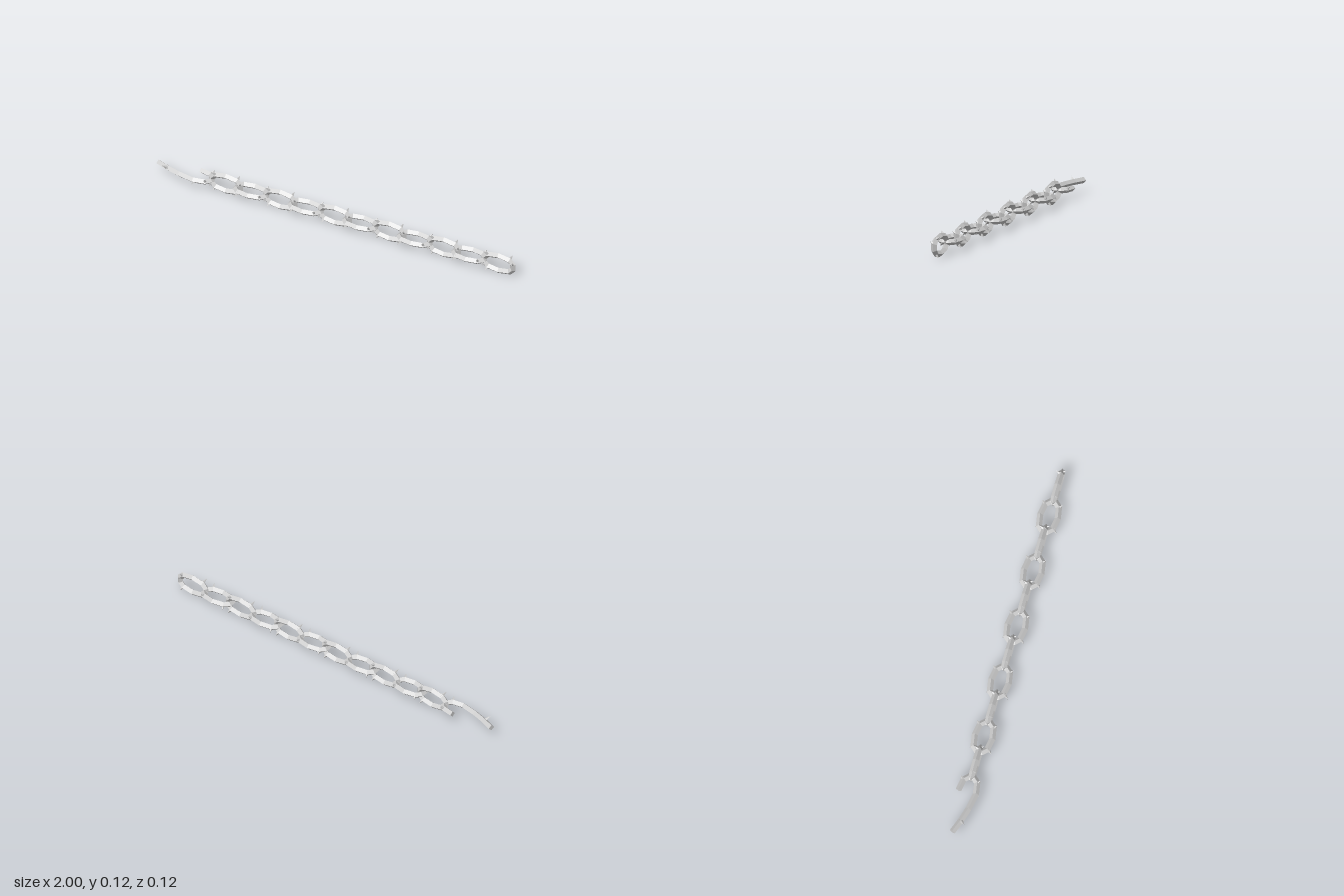
import * as THREE from 'three';

const material = new THREE.MeshStandardMaterial({ color: 0xcccccc, flatShading: true });
const R = 0.0155; // half thickness of the bar
const Y = 0.06;   // height of the chain axis
const PITCH = 0.303;

// Diamond-section bar swept along a counter-clockwise path in the xy plane
function barGeometry(path, closed) {
  const pts = path.map(([x, y]) => new THREE.Vector2(x, y));
  const n = pts.length;
  const pos = [], idx = [];
  pts.forEach((p, i) => {
    const prev = closed ? pts[(i + n - 1) % n] : pts[Math.max(i - 1, 0)];
    const next = closed ? pts[(i + 1) % n] : pts[Math.min(i + 1, n - 1)];
    const a = p.clone().sub(prev).normalize();
    const b = next.clone().sub(p).normalize();
    const t = a.clone().add(b).normalize();
    // widen at bends so the bar keeps its thickness
    const m = R / Math.max(t.dot(i < n - 1 || closed ? b : a), 0.6);
    const nx = t.y * m, ny = -t.x * m;
    pos.push(p.x + nx, p.y + ny, 0, p.x, p.y, R, p.x - nx, p.y - ny, 0, p.x, p.y, -R);
  });
  const spans = closed ? n : n - 1;
  for (let i = 0; i < spans; i++) {
    const j = (i + 1) % n;
    for (let k = 0; k < 4; k++) {
      const l = (k + 1) % 4;
      idx.push(i * 4 + k, j * 4 + k, j * 4 + l, i * 4 + k, j * 4 + l, i * 4 + l);
    }
  }
  if (!closed) {
    const e = (n - 1) * 4;
    idx.push(0, 1, 2, 0, 2, 3, e, e + 2, e + 1, e, e + 3, e + 2);
  }
  const g = new THREE.BufferGeometry();
  g.setAttribute('position', new THREE.Float32BufferAttribute(pos, 3));
  g.setIndex(idx);
  g.computeVertexNormals();
  return g;
}

// Four-sided thorn from a point inside the bar to its tip
function thorn(from, to) {
  const a = new THREE.Vector3(...from), b = new THREE.Vector3(...to);
  const d = b.clone().sub(a);
  const mesh = new THREE.Mesh(new THREE.ConeGeometry(0.012, d.length(), 4), material);
  mesh.name = 'thorn';
  mesh.position.copy(a).addScaledVector(d, 0.5);
  mesh.quaternion.setFromUnitVectors(new THREE.Vector3(0, 1, 0), d.normalize());
  return mesh;
}

const LINK = [
  [0.08, -0.014], [0.08, 0.014], [0.06, 0.035], [0, 0.045], [-0.06, 0.035],
  [-0.08, 0.014], [-0.08, -0.014], [-0.06, -0.035], [0, -0.045], [0.06, -0.035],
];
const BROKEN = [
  [0, -0.045], [0.06, -0.035], [0.08, -0.014], [0.08, 0.014], [0.06, 0.035],
  [0, 0.045], [-0.085, 0.03], [-0.155, 0.01], [-0.222, -0.015],
];
// Thorns: base and tip
const RIGHT_THORNS = [
  [[0.06, 0.035, 0], [0.066, 0.052, -0.026]],
  [[0.08, 0.014, 0], [0.084, 0.032, 0.021]],
  [[0.06, -0.035, 0], [0.07, -0.055, -0.02]],
];
const LEFT_THORNS = [
  [[-0.055, 0.036, 0], [-0.072, 0.061, 0.022]],
  [[-0.06, -0.035, 0], [-0.066, -0.054, 0.018]],
];

function makeLink(name, geometry, thorns, x, flat) {
  const link = new THREE.Group();
  link.name = name;
  const bar = new THREE.Mesh(geometry, material);
  bar.name = 'linkBar';
  link.add(bar, ...thorns.map(([a, b]) => thorn(a, b)));
  link.position.set(x, Y, 0);
  if (flat) link.rotation.x = Math.PI / 2;
  return link;
}

export function createModel() {
  const chain = new THREE.Group();
  chain.name = 'thornedChain';
  const ring = barGeometry(LINK, true);
  const thorns = [...RIGHT_THORNS, ...LEFT_THORNS];

  // Alternating upright and flat links
  for (let i = 0; i < 6; i++) chain.add(makeLink('uprightLink', ring, thorns, 0.9 - i * PITCH, false));
  for (let i = 0; i < 5; i++) chain.add(makeLink('flatLink', ring, thorns, 0.74 - i * PITCH, true));

  // Last link, broken and bent open
  const brokenThorns = [
    ...RIGHT_THORNS,
    [[0.01, 0.044, 0], [-0.005, 0.061, 0.02]],
    [[-0.155, 0.01, 0], [-0.18, 0.036, -0.026]],
  ];
  chain.add(makeLink('brokenLink', barGeometry(BROKEN, false), brokenThorns, -0.775, true));
  return chain;
}
